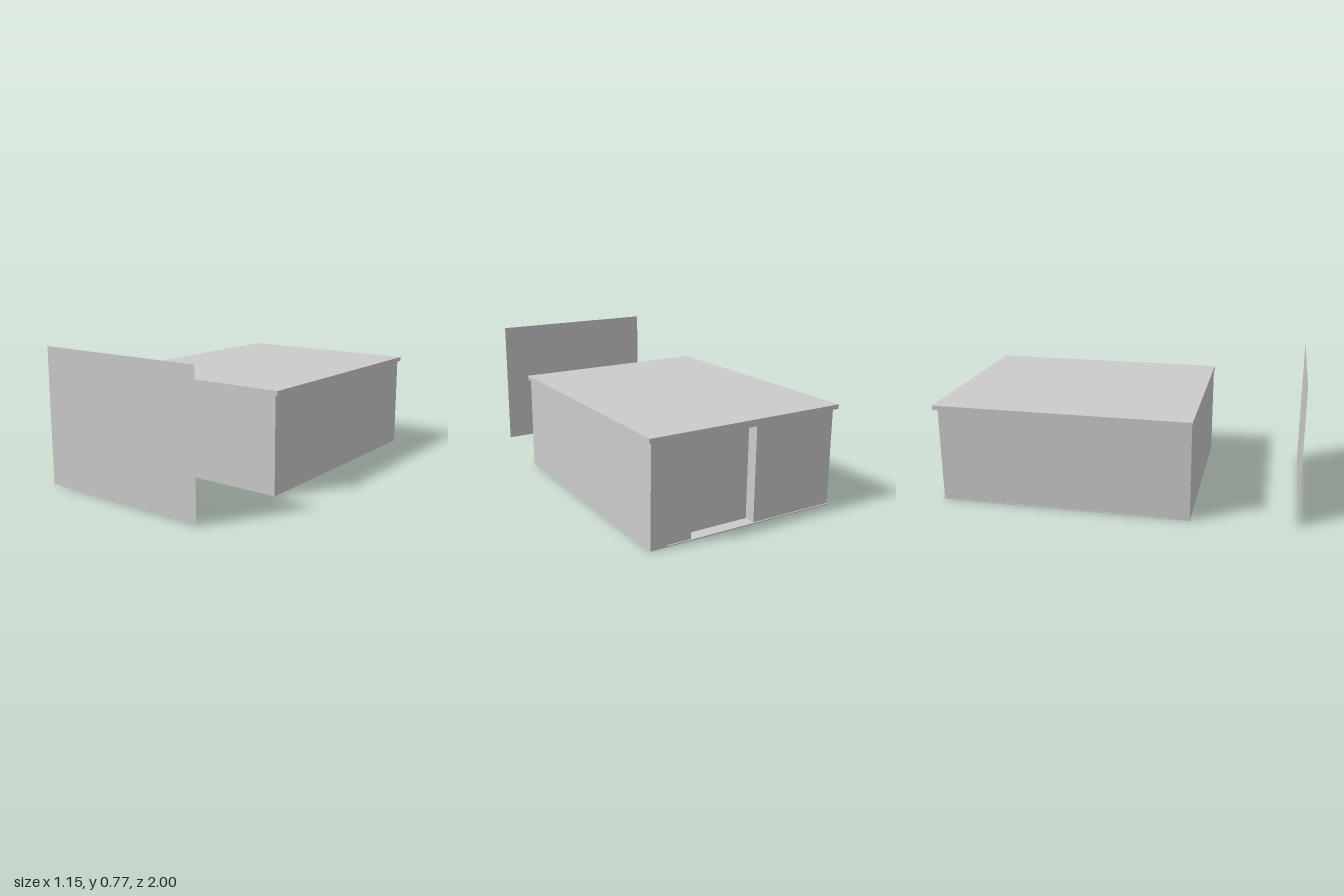
import * as THREE from 'three';

const grey = new THREE.MeshStandardMaterial({ color: 0xcccccc, flatShading: true });
const thin = new THREE.MeshStandardMaterial({ color: 0xcccccc, flatShading: true, side: THREE.DoubleSide });

export function createModel() {
  const model = new THREE.Group();

  const add = (name, geometry, material = grey) => {
    const mesh = new THREE.Mesh(geometry, material);
    mesh.name = name;
    model.add(mesh);
  };

  // Box given by its extents on each axis
  const box = (name, [x0, x1], [y0, y1], [z0, z1]) => {
    const geometry = new THREE.BoxGeometry(x1 - x0, y1 - y0, z1 - z0);
    geometry.translate((x0 + x1) / 2, (y0 + y1) / 2, (z0 + z1) / 2);
    add(name, geometry);
  };

  // Thin upright sheet between two plan points
  const sheet = (name, [xa, za], [xb, zb], y0, y1) => {
    const geometry = new THREE.PlaneGeometry(Math.hypot(xb - xa, zb - za), y1 - y0);
    geometry.rotateY(-Math.atan2(zb - za, xb - xa));
    geometry.translate((xa + xb) / 2, (y0 + y1) / 2, (za + zb) / 2);
    add(name, geometry, thin);
  };

  // Outer shell: wraps the left and front, with short returns at both ends
  const shell = [[0.47, -0.985], [0.56, -0.985], [0.56, 0.433], [-0.56, 0.433], [-0.56, 0.325]];
  const shellNames = ['backReturn', 'leftWall', 'frontWall', 'rightReturn'];
  shellNames.forEach((name, i) => sheet(name, shell[i], shell[i + 1], 0, 0.54));

  // Inner room on its floor slab, with a doorway recess in the back
  box('floor', [-0.56, 0.47], [0, 0.006], [-0.985, 0.325]);
  const plan = [
    [-0.557, -0.978], [-0.055, -0.978], [-0.055, -0.915], [0.328, -0.915],
    [0.328, -0.978], [0.47, -0.978], [0.47, 0.325], [-0.557, 0.325],
  ];
  const shape = new THREE.Shape(plan.map(([x, z]) => new THREE.Vector2(x, -z)));
  const room = new THREE.ExtrudeGeometry(shape, { depth: 0.534, bevelEnabled: false });
  room.rotateX(-Math.PI / 2);
  room.translate(0, 0.006, 0);
  add('room', room);
  box('doorLintel', [-0.055, 0.328], [0.52, 0.54], [-0.978, -0.915]);

  // Flat roof with a small overhang
  box('roof', [-0.575, 0.575], [0.54, 0.564], [-1, 0.437]);

  // Free-standing panel in front
  sheet('frontPanel', [-0.51, 1], [0.502, 1], 0.005, 0.766);

  return model;
}
